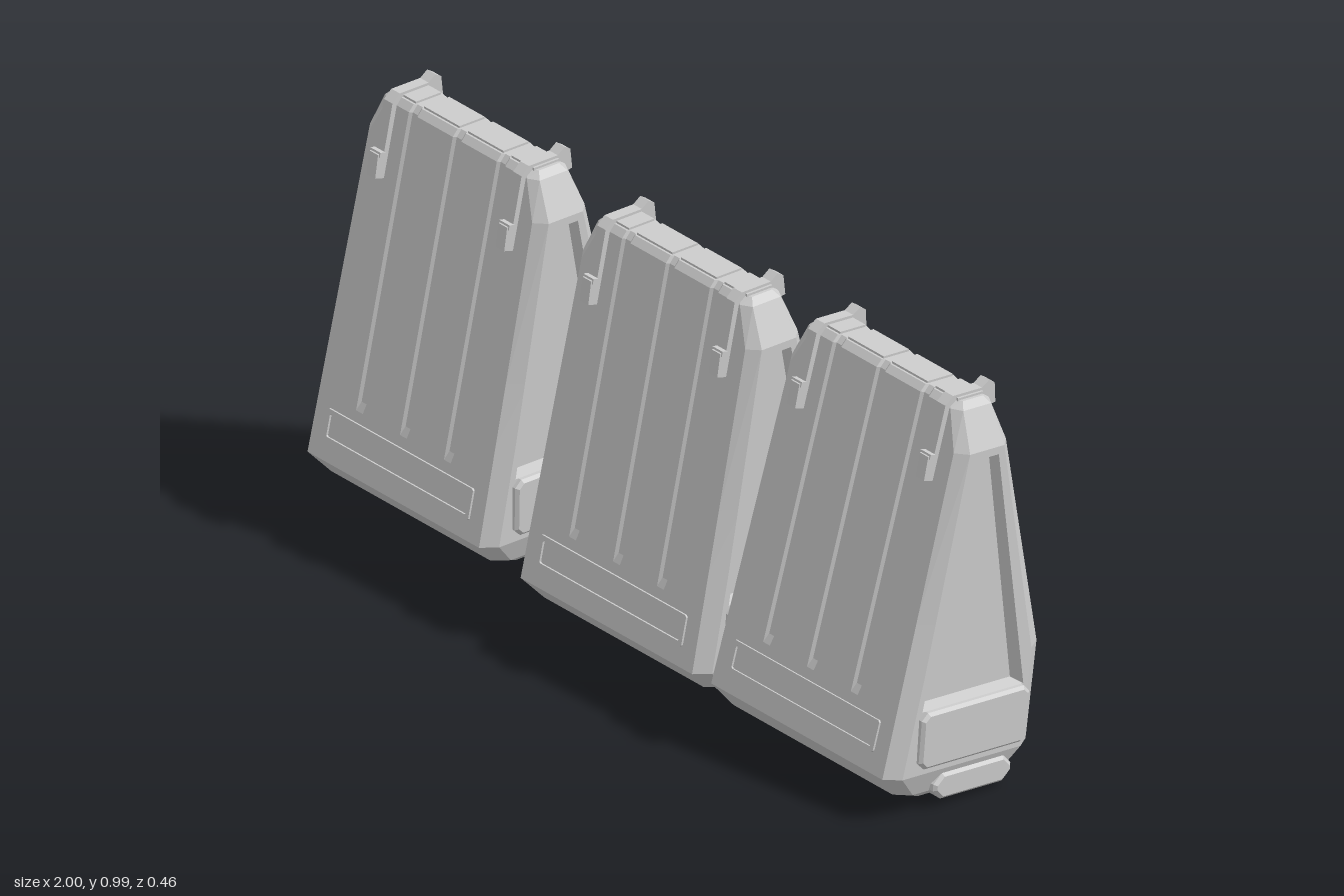
import * as THREE from 'three';

const mat = new THREE.MeshStandardMaterial({ color: 0xcccccc, flatShading: true, side: THREE.DoubleSide });

// Body profile: y, half width, front z, back z, corner chamfer in z
const KEYS = [
  [0, 0.265, 0.114, -0.14, 0.03],
  [0.02, 0.288, 0.155, -0.157, 0.035],
  [0.075, 0.308, 0.205, -0.193, 0.035],
  [0.3, 0.304, 0.16, -0.207, 0.035],
  [0.8, 0.295, 0.06, -0.085, 0.025],
  [0.885, 0.255, 0.043, -0.064, 0.015],
  [0.9, 0.24, 0.03, -0.05, 0.012],
];
const GROOVES = [-0.145, 0, 0.145];
const SIDE_LOW = 0.075, SIDE_HIGH = 0.8;

function profile(y) {
  let i = 0;
  while (i < KEYS.length - 2 && y > KEYS[i + 1][0]) i++;
  const a = KEYS[i], b = KEYS[i + 1], t = (y - a[0]) / (b[0] - a[0]);
  const [, hw, zf, zb, cz] = a.map((v, k) => v + (b[k] - v) * t);
  return { hw, zf, zb, cz };
}

function add(parent, name, geometry) {
  const mesh = new THREE.Mesh(geometry, mat);
  mesh.name = name;
  parent.add(mesh);
  return mesh;
}

const toShape = (pts) => new THREE.Shape(pts.map(([a, b]) => new THREE.Vector2(a, b)));

function rectPath(w, h, c, Path = THREE.Shape) {
  const x = w / 2, y = h / 2;
  return new Path([[-x + c, -y], [x - c, -y], [x, -y + c], [x, y - c], [x - c, y], [-x + c, y], [-x, y - c], [-x, -y + c]]
    .map(([a, b]) => new THREE.Vector2(a, b)));
}

// One horizontal section: chamfered rectangle with grooves in front and back
function ring(y) {
  const { hw, zf, zb, cz } = profile(y), e = hw - 0.025;
  const gf = y > 0.225 ? 0.006 : 0, gb = y > 0.43 ? 0.006 : 0;
  const line = (z, d) => [[-e, z],
    ...GROOVES.flatMap((g) => [[g - 0.014, z], [g - 0.008, z - d], [g + 0.008, z - d], [g + 0.014, z]]), [e, z]];
  return [...line(zf, gf), [hw, zf - cz], [hw, zb + cz], ...line(zb, -gb).reverse(), [-hw, zb + cz], [-hw, zf - cz]]
    .map(([x, z]) => [x, y, z]);
}

function bodyGeometry() {
  const levels = [0, 0.02, 0.075, 0.215, 0.235, 0.3, 0.42, 0.44, 0.8, 0.885, 0.9];
  const rings = levels.map(ring), n = rings[0].length, v = [];
  for (let l = 0; l < levels.length - 1; l++) {
    const open = levels[l] >= SIDE_LOW && levels[l + 1] <= SIDE_HIGH;
    for (let i = 0; i < n; i++) {
      if (open && (i === 14 || i === n - 2)) continue; // side panels fill these
      const j = (i + 1) % n, a = rings[l], b = rings[l + 1];
      v.push(...a[i], ...a[j], ...b[j], ...a[i], ...b[j], ...b[i]);
    }
  }
  const cap = (r, up) => {
    const flat = r.map(([x, , z]) => new THREE.Vector2(x, -z));
    for (const [a, b, c] of THREE.ShapeUtils.triangulateShape(flat, []))
      v.push(...r[a], ...r[up ? b : c], ...r[up ? c : b]);
  };
  cap(rings[0], false);
  cap(rings[rings.length - 1], true);
  const g = new THREE.BufferGeometry();
  g.setAttribute('position', new THREE.Float32BufferAttribute(v, 3));
  g.computeVertexNormals();
  return g;
}

// Lays a flat (-z, y) shape onto the leaning side wall
function layOnSide(g, inset = 0) {
  const p = g.attributes.position;
  for (let i = 0; i < p.count; i++)
    p.setXYZ(i, profile(p.getY(i)).hw - inset, p.getY(i), -p.getX(i));
  g.computeVertexNormals();
  return g;
}

// Block standing out of the side wall, outlined in (-z, y)
function sideBlock(shape, depth, bevel, x, y, z) {
  const g = new THREE.ExtrudeGeometry(shape, { depth, bevelEnabled: true, bevelSize: bevel, bevelThickness: bevel, bevelSegments: 1 });
  return g.rotateY(Math.PI / 2).translate(x, y, z);
}

function createSide() {
  const side = new THREE.Group();
  side.name = 'side';
  const ys = [SIDE_LOW, 0.3, SIDE_HIGH];
  const outline = [
    ...ys.map((y) => [-(profile(y).zb + profile(y).cz), y]),
    ...ys.slice().reverse().map((y) => [-(profile(y).zf - profile(y).cz), y]),
  ];
  const hole = [[-0.125, 0.222], [0.155, 0.222], [0.046, 0.782], [-0.027, 0.782]];
  const floor = hole.map(([u, y]) => [0.012 + (u - 0.012) * 0.9, 0.45 + (y - 0.45) * 0.965]);
  const frame = toShape(outline);
  frame.holes.push(new THREE.Path(hole.map(([a, b]) => new THREE.Vector2(a, b))));
  add(side, 'sideFrame', layOnSide(new THREE.ShapeGeometry(frame)));
  add(side, 'recessFloor', layOnSide(new THREE.ShapeGeometry(toShape(floor)), 0.028));
  // Sloping walls of the recess
  const v = [];
  const point = ([u, y], inset) => [profile(y).hw - inset, y, -u];
  hole.forEach((h, i) => {
    const j = (i + 1) % 4;
    const a = point(h, 0), b = point(hole[j], 0), c = point(floor[j], 0.028), d = point(floor[i], 0.028);
    v.push(...a, ...b, ...c, ...a, ...c, ...d);
  });
  const walls = new THREE.BufferGeometry();
  walls.setAttribute('position', new THREE.Float32BufferAttribute(v, 3));
  walls.computeVertexNormals();
  add(side, 'recessWalls', walls);
  add(side, 'sidePocket', sideBlock(rectPath(0.284, 0.118, 0.012), 0.024, 0.007, 0.29, 0.156, -0.016));
  add(side, 'lowerTab', sideBlock(rectPath(0.2, 0.046, 0.018), 0.04, 0.007, 0.263, 0.032, -0.03));
  return side;
}

function frameGeometry(w, h) {
  const s = rectPath(w, h, 0.004);
  s.holes.push(rectPath(w - 0.02, h - 0.02, 0.003, THREE.Path));
  return new THREE.ExtrudeGeometry(s, { depth: 0.006, bevelEnabled: false });
}

function createPouch() {
  const pouch = new THREE.Group();
  add(pouch, 'body', bodyGeometry());
  const left = createSide(), right = createSide();
  left.name = 'leftSide';
  right.name = 'rightSide';
  right.scale.x = -1;
  pouch.add(left, right);

  // Raised label frames, front and back
  const front = add(pouch, 'frontFrame', frameGeometry(0.48, 0.072));
  front.position.set(0, 0.155, profile(0.155).zf - 0.001);
  front.rotation.x = -Math.atan(0.2);
  const back = add(pouch, 'backFrame', frameGeometry(0.5, 0.07));
  back.position.set(0, 0.365, profile(0.365).zb + 0.001);
  back.rotation.set(Math.atan(0.244), Math.PI, 0);

  // Lid pads between the grooves
  for (const x of [-0.195, -0.0725, 0.0725, 0.195])
    add(pouch, 'lidPad', new THREE.BoxGeometry(Math.abs(x) > 0.1 ? 0.075 : 0.117, 0.008, 0.07).translate(x, 0.901, -0.01));

  // Straps hooked over the top, thicker at the buckle
  const strap = toShape([[-0.086, 0.868], [-0.08, 0.915], [-0.064, 0.925], [-0.045, 0.911], [0.035, 0.911], [0.055, 0.893],
    [0.069, 0.82], [0.076, 0.785], [0.093, 0.782], [0.1, 0.728], [0.07, 0.72], [0.04, 0.87], [0.025, 0.89], [-0.045, 0.89], [-0.066, 0.865]]
    .map(([z, y]) => [-z, y]));
  for (const x of [-0.213, 0.213]) {
    add(pouch, 'strap', new THREE.ExtrudeGeometry(strap, { depth: 0.028, bevelEnabled: false })
      .rotateY(Math.PI / 2).translate(x - 0.014, 0, 0));
    const bar = add(pouch, 'buckleBar', new THREE.BoxGeometry(0.034, 0.012, 0.014));
    bar.position.set(x, 0.78, 0.083);
    bar.rotation.x = -0.2;
    // Clips on the lower back edge
    const clip = add(pouch, 'backClip', new THREE.BoxGeometry(0.04, 0.055, 0.012));
    clip.position.set(x, 0.05, -0.18);
    clip.rotation.x = 0.57;
  }

  // Base plates
  const plate = (name, w, d, x) => {
    const s = rectPath(w, d, 0.015);
    add(pouch, name, new THREE.ExtrudeGeometry(s, { depth: 0.004, bevelEnabled: true, bevelSize: 0.003, bevelThickness: 0.003, bevelSegments: 1 })
      .rotateX(Math.PI / 2).translate(x, 0.002, -0.013));
  };
  plate('basePlate', 0.26, 0.19, -0.09);
  plate('baseGrille', 0.13, 0.1, 0.14);
  for (const z of [-0.04, -0.013, 0.014])
    add(pouch, 'grilleBar', new THREE.BoxGeometry(0.1, 0.004, 0.01).translate(0.14, -0.006, z));
  return pouch;
}

export function createModel() {
  const model = new THREE.Group();
  model.name = 'pouchRow';
  // name, x, y, z, pitch
  for (const [name, x, y, z, pitch] of [
    ['rightPouch', -0.683, 0.062, 0, 0],
    ['middlePouch', -0.006, 0.014, -0.022, 0],
    ['leftPouch', 0.675, 0.024, 0.028, -0.07],
  ]) {
    const pouch = createPouch();
    pouch.name = name;
    pouch.position.set(x, y, z);
    pouch.rotation.set(pitch, 0, -0.022);
    model.add(pouch);
  }
  return model;
}
